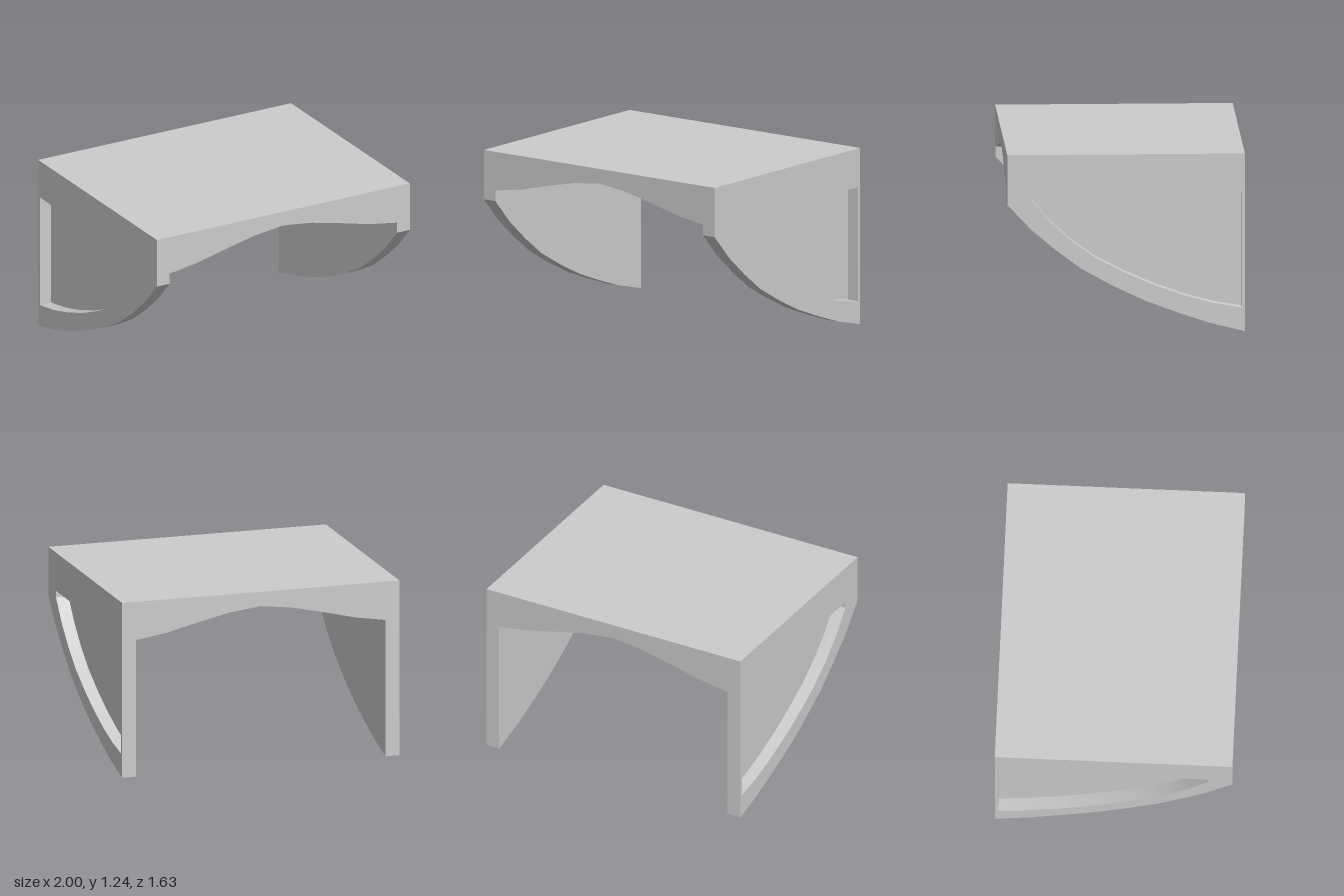
import * as THREE from 'three';
import { toCreasedNormals } from 'three/addons/utils/BufferGeometryUtils.js';

const TOP = 1.236;      // height of the flat top
const SPRING = 0.965;   // height where the arch meets the side walls
const DEPTH = 0.815;    // half depth
const WALL = 0.1;       // side wall thickness
const SKIN = 0.01;      // thin inner sheet behind the side recess

// Curved lower edge of a side wall, as [z, y], front to back
const outerCurve = [
  [DEPTH, 0.89], [0.65, 0.714], [0.483, 0.573], [0.303, 0.439], [0.096, 0.325],
  [-0.127, 0.218], [-0.354, 0.133], [-0.568, 0.061], [-DEPTH, 0],
];
// Curved lower edge of the recess, front to back
const recessCurve = [
  [0.648, 0.919], [0.519, 0.766], [0.371, 0.633], [0.205, 0.515], [0.008, 0.413],
  [-0.188, 0.327], [-0.402, 0.251], [-0.603, 0.197], [-0.793, 0.164],
];
// Half of the arched underside, as [x, y], from wall to crown
const archHalf = [[0.9, SPRING], [0.68, 1.0], [0.45, 1.056], [0.224, 1.107]];

const material = new THREE.MeshStandardMaterial({ color: 0xcccccc });

function extrude(points, depth) {
  const shape = new THREE.Shape(points.map(([x, y]) => new THREE.Vector2(x, y)));
  const geometry = new THREE.ExtrudeGeometry(shape, { depth, bevelEnabled: false });
  return toCreasedNormals(geometry, 0.5);
}

function addMesh(parent, name, geometry) {
  const mesh = new THREE.Mesh(geometry, material);
  mesh.name = name;
  parent.add(mesh);
  return mesh;
}

// Profile in the z-y plane, given thickness in x between x0 and x0 + thickness
function sideSlab(points, x0, thickness) {
  return extrude(points, thickness).rotateY(-Math.PI / 2).translate(x0 + thickness, 0, 0);
}

export function createModel() {
  const model = new THREE.Group();
  model.name = 'archedCanopy';

  // Flat-topped canopy with an arched underside
  const mirrored = archHalf.map(([x, y]) => [-x, y]);
  const canopy = extrude([
    [1, TOP], [-1, TOP], [-1, SPRING],
    ...mirrored, [0, 1.134], ...[...archHalf].reverse(),
    [1, SPRING],
  ], 2 * DEPTH).translate(0, 0, -DEPTH);
  addMesh(model, 'canopy', canopy);

  // Side walls: a raised rim outside, closed by a thin sheet inside
  const sheetProfile = [[DEPTH, SPRING], ...outerCurve, [-DEPTH, SPRING]];
  const rimProfile = [
    ...sheetProfile,
    [-0.793, SPRING], ...[...recessCurve].reverse(), [0.648, SPRING],
  ];
  for (const [name, side] of [['leftWall', 1], ['rightWall', -1]]) {
    const wall = new THREE.Group();
    wall.name = name;
    const inner = 1 - WALL;
    const rimStart = side > 0 ? inner + SKIN : -1;
    const sheetStart = side > 0 ? inner : -inner - SKIN;
    addMesh(wall, name + 'Rim', sideSlab(rimProfile, rimStart, WALL - SKIN));
    addMesh(wall, name + 'Sheet', sideSlab(sheetProfile, sheetStart, SKIN));
    model.add(wall);
  }

  return model;
}
